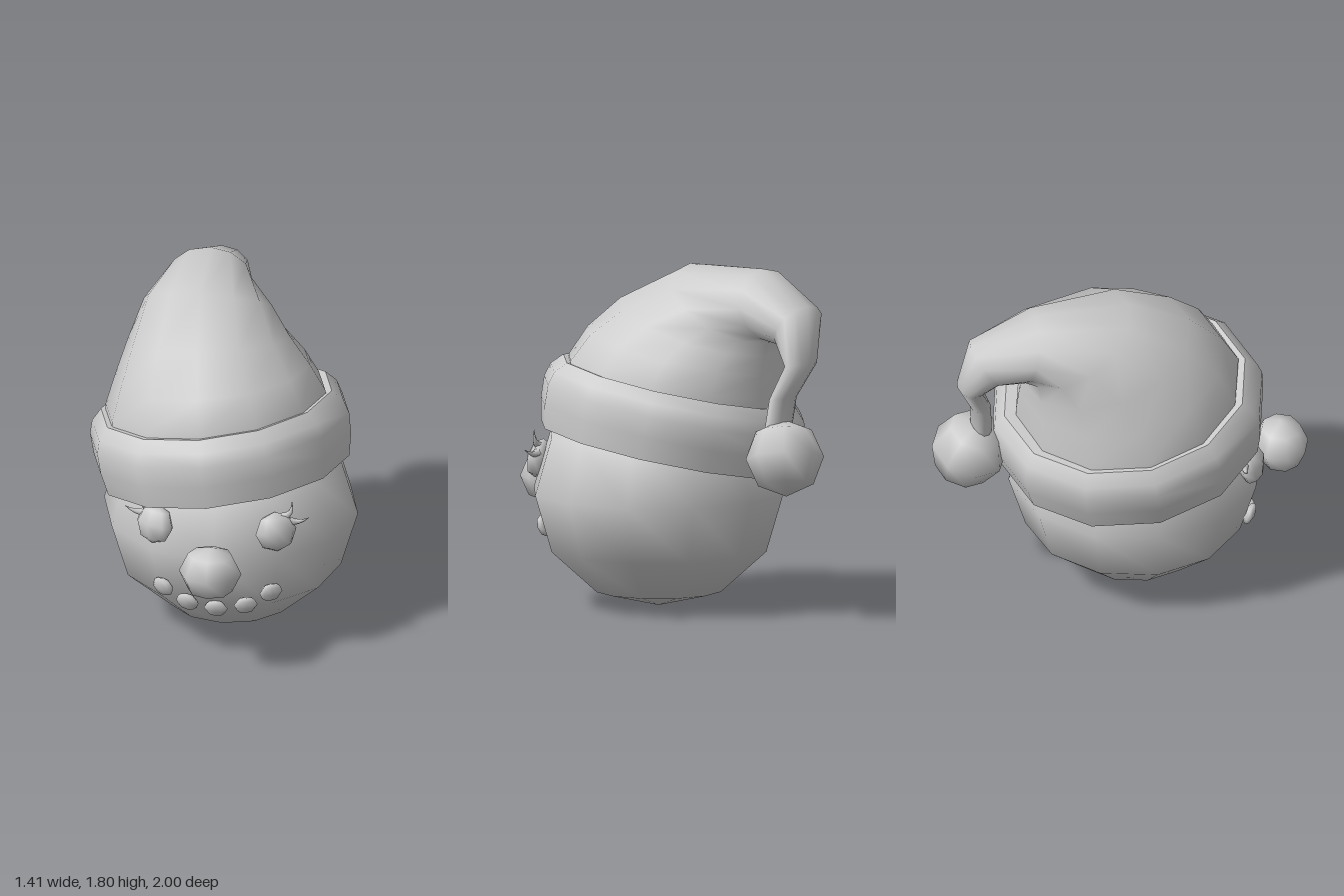
import * as THREE from 'three';
import { toCreasedNormals } from 'three/addons/utils/BufferGeometryUtils.js';

const material = new THREE.MeshStandardMaterial({ color: 0xcccccc });
const doubleSided = new THREE.MeshStandardMaterial({ color: 0xcccccc, side: THREE.DoubleSide });
const V = (x, y, z) => new THREE.Vector3(x, y, z);

const HEAD = V(0.04, 0.6, 0.075);
const HEAD_RADIUS = 0.665;

function part(parent, name, geometry, mat = material) {
  const mesh = new THREE.Mesh(geometry, mat);
  mesh.name = name;
  parent.add(mesh);
  return mesh;
}

function ball(parent, name, radius, sides, centre) {
  const mesh = part(parent, name, new THREE.SphereGeometry(radius, sides, sides / 2));
  mesh.position.copy(centre);
  return mesh;
}

// Smooth skin over elliptical rings { c: centre, u, v: half axes }, with u x v pointing backwards
function loft(rings, sides) {
  const positions = [], index = [];
  rings.forEach(({ c, u, v }, i) => {
    for (let j = 0; j < sides; j++) {
      const a = (j / sides) * Math.PI * 2;
      const p = c.clone().addScaledVector(u, Math.cos(a)).addScaledVector(v, Math.sin(a));
      positions.push(p.x, p.y, p.z);
      if (i === rings.length - 1) continue;
      const k = (j + 1) % sides;
      const A = i * sides + j, B = i * sides + k;
      index.push(A, A + sides, B, B, A + sides, B + sides);
    }
  });
  const geometry = new THREE.BufferGeometry();
  geometry.setAttribute('position', new THREE.Float32BufferAttribute(positions, 3));
  geometry.setIndex(index);
  geometry.computeVertexNormals();
  return geometry;
}

// Point on the face at the given x and y
function onFace(x, y) {
  const dx = x - HEAD.x, dy = y - HEAD.y;
  return V(x, y, HEAD.z + Math.sqrt((HEAD_RADIUS - 0.01) ** 2 - dx * dx - dy * dy));
}

// Flattened ball lying against the face
function button(parent, name, x, y, radius, depth) {
  const p = onFace(x, y);
  const mesh = ball(parent, name, radius, 8, p);
  mesh.scale.set(1.08, 1, depth);
  mesh.lookAt(p.clone().multiplyScalar(2).sub(HEAD));
}

// Curved, tapering lash
function eyelash(parent, start, bend, tip, radius) {
  const curve = new THREE.QuadraticBezierCurve3(start, bend, tip);
  const rings = [];
  for (let i = 0; i <= 4; i++) {
    const t = i / 4, tangent = curve.getTangent(t);
    const r = radius * (1 - t) + 0.001;
    const v = V(0, 0, r);
    const u = tangent.cross(v).setLength(r);
    rings.push({ c: curve.getPoint(t), u, v });
  }
  part(parent, 'eyelash', loft(rings, 5), doubleSided);
}

export function createModel() {
  const model = new THREE.Group();
  model.name = 'snowmanHead';

  ball(model, 'head', HEAD_RADIUS, 12, HEAD).scale.y = 0.6 / HEAD_RADIUS;
  ball(model, 'nose', 0.145, 8, V(0.045, 0.6, 0.855)).scale.x = 1.13;

  // Eyes with two lashes each, mirrored about the middle of the face
  for (const side of [-1, 1]) {
    const eye = new THREE.Group();
    eye.name = side > 0 ? 'leftEye' : 'rightEye';
    model.add(eye);
    const x = HEAD.x + side * 0.317, y = 0.747;
    button(eye, 'eyeball', x, y, 0.105, 0.6);
    const at = (dx, dy, z) => V(x + side * dx, y + dy, z);
    eyelash(eye, at(0.03, 0.07, 0.6), at(0.085, 0.085, 0.59), at(0.078, 0.16, 0.59), 0.024);
    eyelash(eye, at(0.06, 0.04, 0.58), at(0.11, 0.025, 0.57), at(0.165, 0.065, 0.575), 0.024);
  }

  // Mouth
  const mouth = new THREE.Group();
  mouth.name = 'mouth';
  model.add(mouth);
  for (const [x, y] of [[-0.235, 0.385], [-0.105, 0.315], [0.045, 0.29], [0.2, 0.315], [0.33, 0.39]]) {
    button(mouth, 'mouthButton', x, y, 0.058, 0.5);
  }

  // Tilted band around the hat
  const profile = [
    [0.56, -0.15], [0.655, -0.18], [0.68, -0.06],
    [0.685, 0.05], [0.665, 0.12], [0.61, 0.18], [0.55, 0.17],
  ].map(([r, y]) => new THREE.Vector2(r, y));
  const band = part(model, 'hatBand', toCreasedNormals(new THREE.LatheGeometry(profile, 12), 0.85), doubleSided);
  band.position.set(-0.02, 0.995, 0.03);
  band.rotation.set(-0.13, 0, 0.15);
  band.scale.z = 1.055;

  // Hat bending backwards into a drooping tail: [front z, y, back z, y, centre x, half width, sideways rise]
  const sections = [
    [0.6, 1.14, -0.57, 1.0, -0.04, 0.59, 0.14],
    [0.61, 1.26, -0.57, 1.13, -0.05, 0.575, 0.14],
    [0.52, 1.42, -0.56, 1.25, -0.07, 0.51, 0.12],
    [0.34, 1.6, -0.55, 1.35, -0.1, 0.425, 0.07],
    [0.01, 1.78, -0.54, 1.42, -0.13, 0.335, 0],
    [-0.49, 1.8, -0.57, 1.43, -0.155, 0.215, 0],
    [-0.83, 1.64, -0.68, 1.42, -0.14, 0.16, 0],
    [-0.89, 1.35, -0.76, 1.33, -0.09, 0.1, 0],
    [-0.81, 1.17, -0.7, 1.16, -0.03, 0.085, 0],
    [-0.8, 0.98, -0.69, 0.98, 0, 0.085, 0],
  ];
  const rings = sections.map(([fz, fy, bz, by, x, w, rise]) => ({
    c: V(x, (fy + by) / 2, (fz + bz) / 2),
    u: V(w, w * rise, 0),
    v: V(0, (fy - by) / 2, (fz - bz) / 2),
  }));
  part(model, 'hat', loft(rings, 12), doubleSided);

  ball(model, 'pompom', 0.203, 8, V(0.01, 0.86, -0.807)).rotation.set(0.25, 0, 0.2);

  return model;
}
